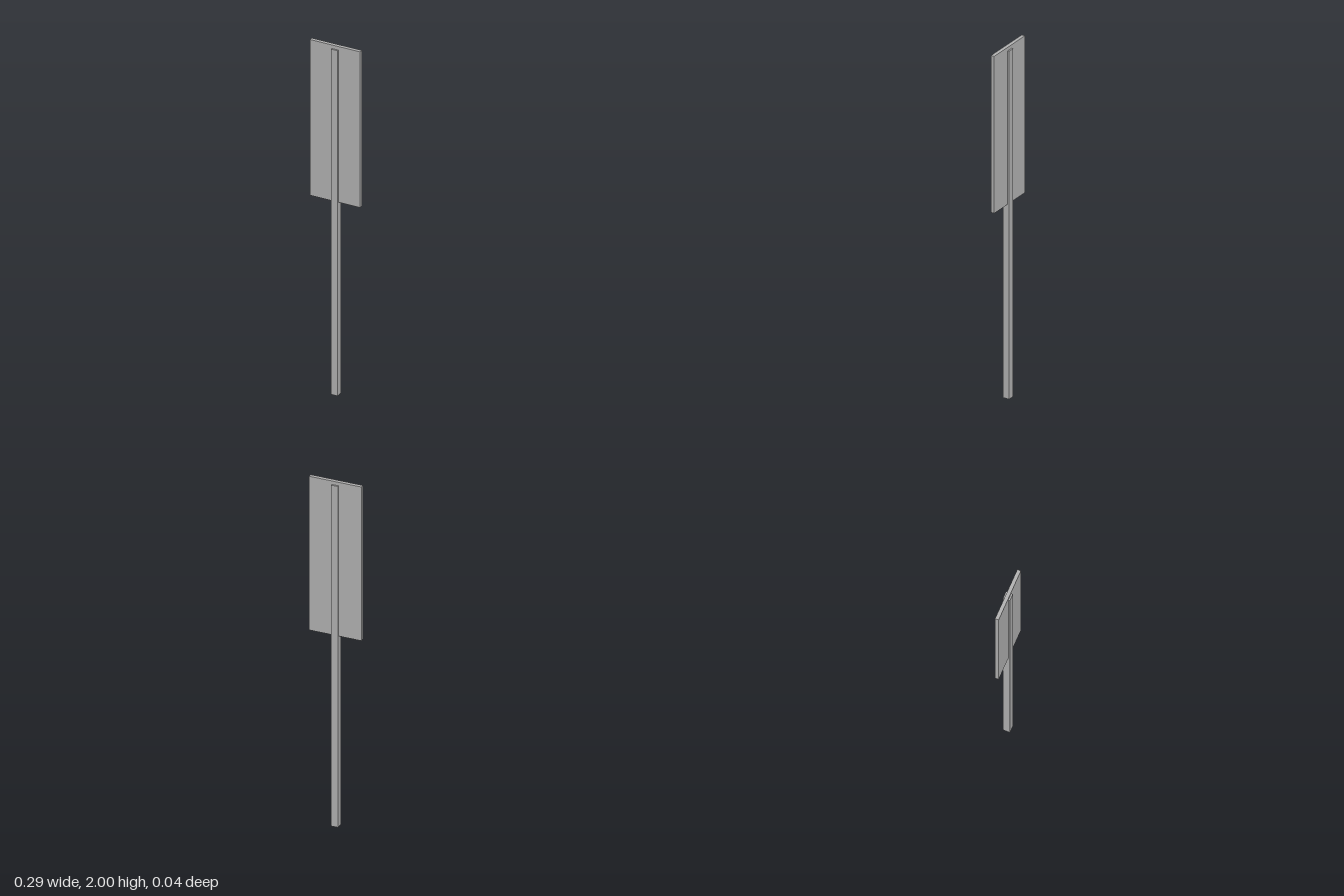
import * as THREE from 'three';

export function createModel() {
  const group = new THREE.Group();
  const grey = new THREE.MeshStandardMaterial({ color: 0xb2b2b2 });
  grey.name = 'grey';

  // Box spanning bottom to top, centred on the vertical axis
  function addBox(name, width, depth, bottom, top) {
    const mesh = new THREE.Mesh(new THREE.BoxGeometry(width, top - bottom, depth), grey);
    mesh.name = name;
    mesh.position.y = (bottom + top) / 2;
    group.add(mesh);
  }

  // Square post running up through the panel, just short of its top edge
  addBox('post', 0.038, 0.038, 0, 1.98);
  // Flat sign panel
  addBox('signPanel', 0.292, 0.02, 1.107, 2);

  return group;
}
